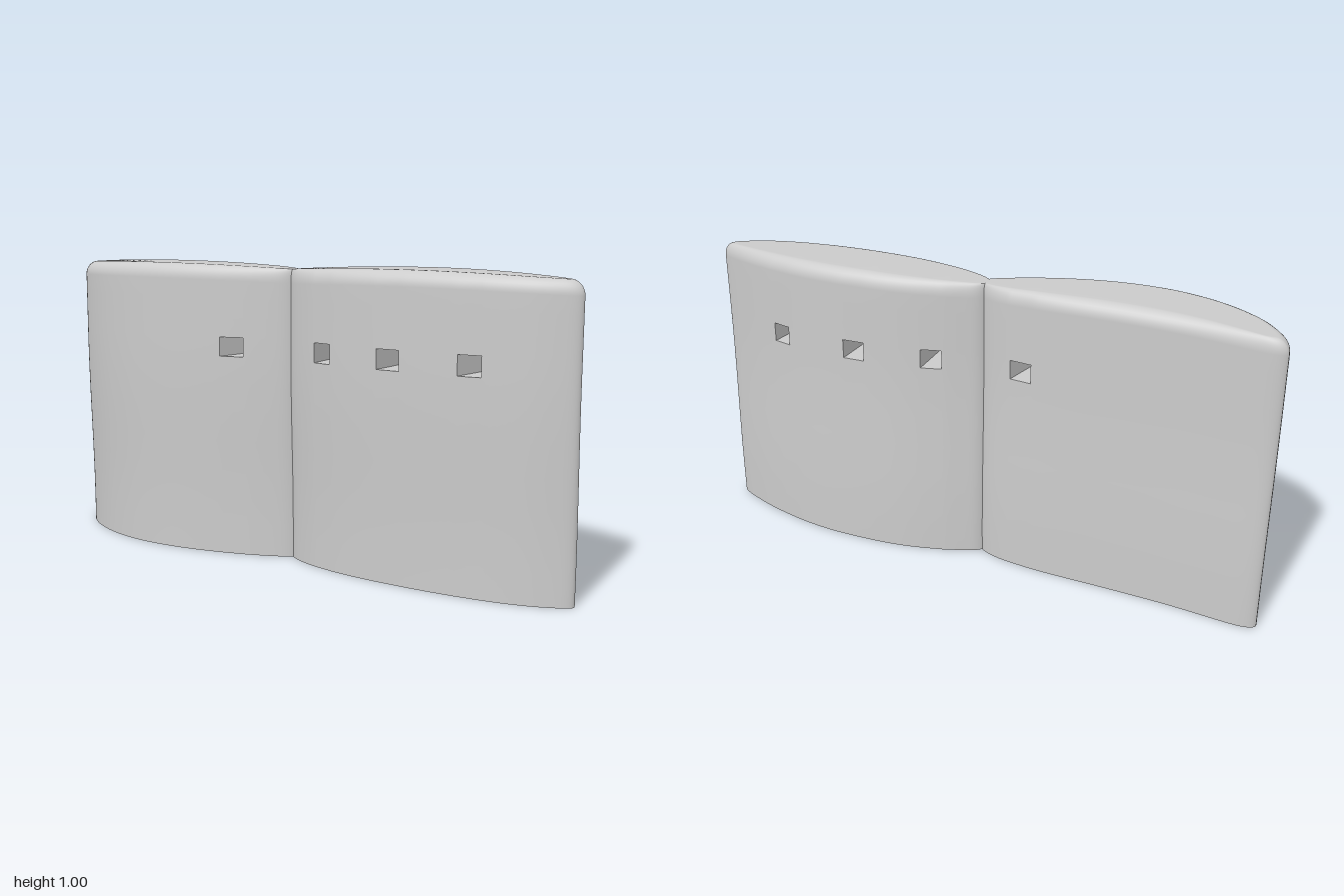
import * as THREE from 'three';
import { mergeVertices } from 'three/addons/utils/BufferGeometryUtils.js';

const material = new THREE.MeshStandardMaterial({ color: 0xcccccc, side: THREE.DoubleSide });
const HOLE_BOTTOM = 0.69, HOLE_TOP = 0.755, FILLET = 0.05;

// Smooth curve z(s) through points [x, z]; s runs 0..1 as an angle around a lobe of centre c, radius r
function makeCurve(points, toS) {
  const s = points.map(p => toS(p[0])), z = points.map(p => p[1]), n = s.length;
  const slope = i => {
    const a = Math.max(i - 1, 0), b = Math.min(i + 1, n - 1);
    return (z[b] - z[a]) / (s[b] - s[a]);
  };
  return v => {
    let i = 0;
    while (i < n - 2 && v > s[i + 1]) i++;
    const h = s[i + 1] - s[i], t = (v - s[i]) / h, t2 = t * t, t3 = t2 * t;
    return (2 * t3 - 3 * t2 + 1) * z[i] + (t3 - 2 * t2 + t) * h * slope(i)
      + (3 * t2 - 2 * t3) * z[i + 1] + (t3 - t2) * h * slope(i + 1);
  };
}

// Rows of the shell: height and inset, with a quarter-round at the top
function makeRows() {
  const rows = [];
  for (const y of [0, 0.1, 0.2, 0.3, 0.4, 0.5, 0.6, HOLE_BOTTOM, HOLE_TOP, 0.82, 0.89]) rows.push([y, 0]);
  for (let k = 0; k <= 8; k++) {
    const a = k / 8 * Math.PI / 2;
    rows.push([1 - FILLET + FILLET * Math.sin(a), FILLET * (1 - Math.cos(a))]);
  }
  return rows;
}

// One hollow lobe, open below; each hole is [front x0, front x1, back x0, back x1]
function makeLobe(name, front, back, holes, joint) {
  const x0 = front[0][0], x1 = front[front.length - 1][0];
  const c = (x0 + x1) / 2, r = (x1 - x0) / 2;
  const toS = x => Math.acos(THREE.MathUtils.clamp((c - x) / r, -1, 1)) / Math.PI;
  const zFront = makeCurve(front, toS), zBack = makeCurve(back, toS);

  // Columns pair a front and a back position, with breaks at the hole edges
  const stops = [[0, 0]];
  for (const h of holes) stops.push([toS(h[0]), toS(h[2])], [toS(h[1]), toS(h[3])]);
  stops.push([1, 1]);
  const columns = [stops[0]], holeColumns = [];
  for (let i = 1; i < stops.length; i++) {
    const [a, b] = [stops[i - 1], stops[i]], isHole = i % 2 === 0;
    const steps = isHole ? 1 : Math.ceil((b[0] - a[0]) * 56);
    if (isHole) holeColumns.push(columns.length - 1);
    for (let k = 1; k <= steps; k++) columns.push([0, 1].map(j => a[j] + (b[j] - a[j]) * k / steps));
  }

  const point = (col, isBack, [y, inset]) => {
    const [sf, sb] = columns[col], s = isBack ? sb : sf;
    const mid = (zFront(s) + zBack(s)) / 2;
    const x = c - r * Math.cos(Math.PI * s);
    const z = mid + ((isBack ? zBack(s) : zFront(s)) - mid) * (1 - inset / 0.15);
    const lean = 0.013 * (THREE.MathUtils.smoothstep(y, 0.1, 0.7) - 1);
    const sag = 0.015 * Math.pow((x - c) / r, 2) * THREE.MathUtils.smoothstep(y, 0.8, 1);
    return [joint + (x - joint) * (1 - inset / 1.1), y * 1.002 - sag, z + lean];
  };

  // Shell wall
  const rows = makeRows(), n = columns.length, ring = 2 * n;
  const holeRow = rows.findIndex(row => row[0] === HOLE_BOTTOM);
  const positions = [], index = [];
  for (const row of rows) {
    for (let i = 0; i < n; i++) positions.push(...point(i, false, row));
    for (let i = n - 1; i >= 0; i--) positions.push(...point(i, true, row));
  }
  const quad = (a, b, d, e) => index.push(a, b, d, a, d, e);
  for (let j = 0; j < rows.length - 1; j++) {
    for (let i = 0; i < ring; i++) {
      const col = i < n ? i : ring - 2 - i;
      if (j === holeRow && holeColumns.includes(col) && i !== n - 1 && i !== ring - 1) continue;
      const k = (i + 1) % ring;
      quad(j * ring + i, j * ring + k, (j + 1) * ring + k, (j + 1) * ring + i);
    }
  }
  // Top cap
  const top = (rows.length - 1) * ring;
  for (let i = 0; i < n - 1; i++) quad(top + i, top + i + 1, top + ring - 2 - i, top + ring - 1 - i);

  let shell = new THREE.BufferGeometry();
  shell.setAttribute('position', new THREE.Float32BufferAttribute(positions, 3));
  shell.setIndex(index);
  shell = mergeVertices(shell, 1e-5);
  shell.computeVertexNormals();

  const group = new THREE.Group();
  group.name = name;
  const wall = new THREE.Mesh(shell, material);
  wall.name = 'shell';
  group.add(wall);

  // Square tunnels joining the front and back openings
  for (const col of holeColumns) {
    const low = rows[holeRow], high = rows[holeRow + 1];
    const corners = [[col, low], [col + 1, low], [col + 1, high], [col, high]];
    const p = [];
    corners.forEach(([i, row], k) => {
      const [i2, row2] = corners[(k + 1) % 4];
      const a = point(i, false, row), b = point(i2, false, row2);
      const d = point(i2, true, row2), e = point(i, true, row);
      p.push(...a, ...b, ...d, ...a, ...d, ...e);
    });
    const tunnel = new THREE.BufferGeometry();
    tunnel.setAttribute('position', new THREE.Float32BufferAttribute(p, 3));
    tunnel.computeVertexNormals();
    const mesh = new THREE.Mesh(tunnel, material);
    mesh.name = 'holeTunnel';
    group.add(mesh);
  }
  return group;
}

export function createModel() {
  const model = new THREE.Group();
  model.name = 'twoLobedShell';
  // Right lobe bulges to the front
  model.add(makeLobe('rightLobe',
    [[-1, -0.025], [-0.97, 0.04], [-0.9, 0.105], [-0.8, 0.155], [-0.7, 0.183], [-0.57, 0.196],
      [-0.4, 0.178], [-0.2, 0.12], [-0.08, 0.066], [-0.02, 0.03], [0.005, -0.01]],
    [[-1, -0.025], [-0.95, -0.05], [-0.7, -0.05], [-0.5, -0.058], [-0.25, -0.072], [-0.1, -0.068],
      [-0.02, -0.046], [0.005, -0.01]],
    [[-0.225, -0.147, -0.2, -0.125]], 0));
  // Left lobe bulges to the back
  model.add(makeLobe('leftLobe',
    [[-0.022, -0.015], [0, 0.022], [0.05, 0.046], [0.15, 0.069], [0.3, 0.078], [0.5, 0.067],
      [0.7, 0.04], [0.85, 0.002], [0.95, -0.043], [0.995, -0.085]],
    [[-0.022, -0.015], [0, -0.055], [0.05, -0.083], [0.15, -0.126], [0.3, -0.166], [0.5, -0.188],
      [0.65, -0.184], [0.8, -0.16], [0.93, -0.124], [0.995, -0.085]],
    [[0.13, 0.197, 0.108, 0.175], [0.38, 0.46, 0.37, 0.445], [0.655, 0.73, 0.67, 0.735]], 0));
  return model;
}
